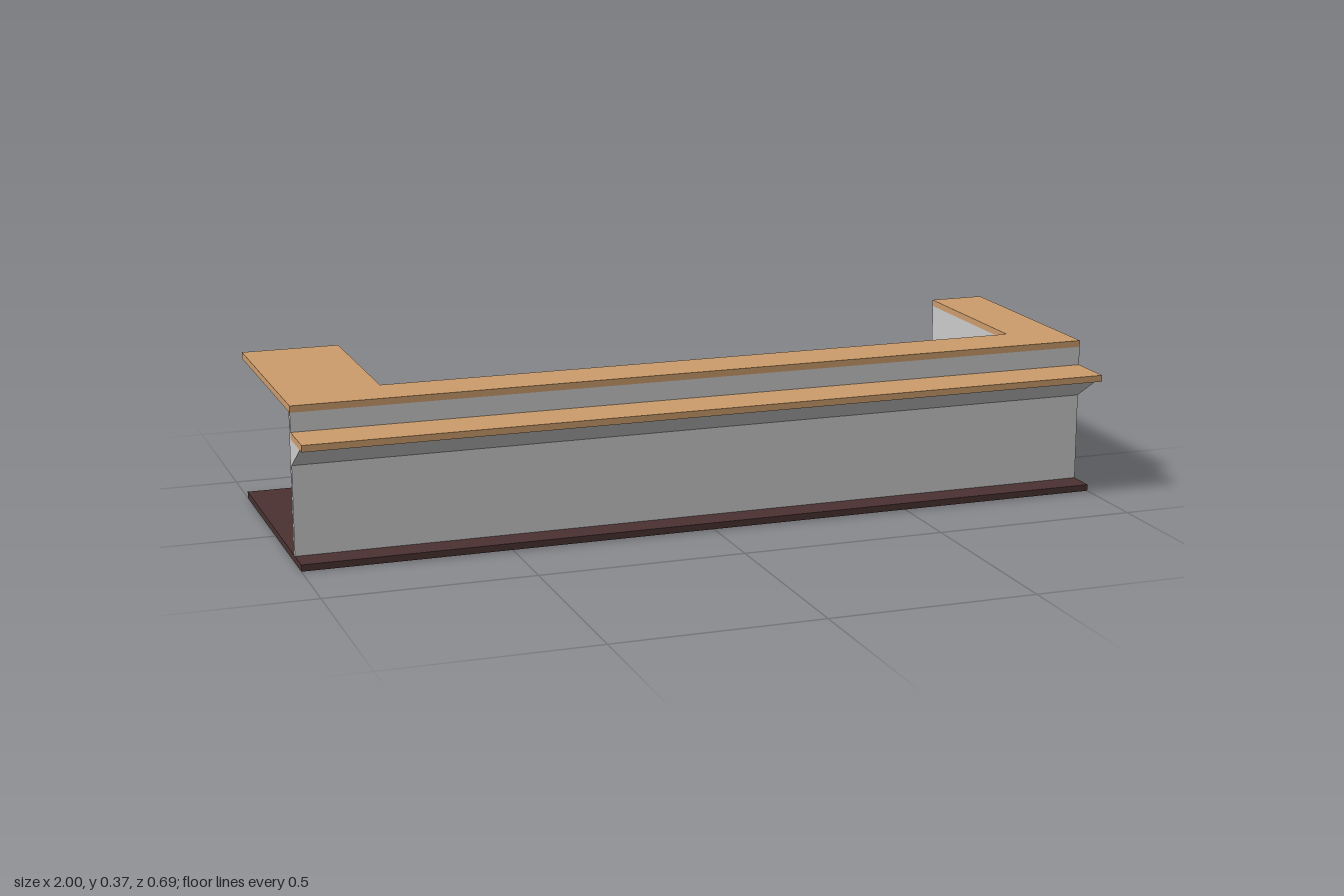
import * as THREE from 'three';

const grey = new THREE.MeshStandardMaterial({ color: 0xcccccc });
const wood = new THREE.MeshStandardMaterial({ color: 0xcc9c6c });
const dark = new THREE.MeshStandardMaterial({ color: 0x4b3232 });

// Main levels and depths
const BACK = -0.346, PANEL = 0.013;
const FRONT = 0.225, FRONT_IN = FRONT - PANEL;
const FLOOR = 0.016, DESK = 0.24, SOFFIT = 0.294, TOP = 0.356, HEIGHT = 0.372;
const WALL = 0.874, WALL_IN = 0.861, DESK_X = 0.68, DESK_Z = 0.02, TOP_Z = 0.097;

export function createModel() {
  const model = new THREE.Group();
  model.name = 'receptionCounter';

  const add = (name, geometry, material) => {
    const mesh = new THREE.Mesh(geometry, material);
    mesh.name = name;
    model.add(mesh);
  };

  // Box given by its limits on each axis
  const box = (name, material, [x0, x1], [y0, y1], [z0, z1]) => {
    const g = new THREE.BoxGeometry(x1 - x0, y1 - y0, z1 - z0);
    g.translate((x0 + x1) / 2, (y0 + y1) / 2, (z0 + z1) / 2);
    add(name, g, material);
  };

  const prism = (points, depth) => new THREE.ExtrudeGeometry(
    new THREE.Shape(points.map(([a, b]) => new THREE.Vector2(a, b))),
    { depth, bevelEnabled: false });

  // U-shaped board lying flat, open towards the back
  const uBoard = (name, material, outX, inLeft, inRight, inZ, frontZ, backZ, y0, y1) => {
    const plan = [[-outX, frontZ], [outX, frontZ], [outX, backZ], [inRight, backZ],
      [inRight, inZ], [inLeft, inZ], [inLeft, backZ], [-outX, backZ]];
    const g = prism(plan.map(([x, z]) => [x, -z]), y1 - y0);
    g.rotateX(-Math.PI / 2).translate(0, y0, 0);
    add(name, g, material);
  };

  // Plinth, work surface and upper counter
  uBoard('basePlinth', dark, 1, -DESK_X, DESK_X, DESK_Z, 0.294, BACK, 0, FLOOR);
  uBoard('workSurface', grey, WALL_IN, -DESK_X, DESK_X, DESK_Z, FRONT_IN,
    BACK + PANEL, DESK - PANEL, DESK);
  uBoard('counterTop', wood, 1, -0.76, 0.86, TOP_Z, FRONT, BACK, TOP, HEIGHT);

  // Front panel with its ledge and full-length sloped bracket
  box('frontPanel', grey, [-1, 1], [FLOOR, TOP], [FRONT_IN, FRONT]);
  box('frontLedge', wood, [-1, 1], [SOFFIT, 0.31], [FRONT, 0.346]);
  const bracket = prism([[-FRONT, 0.232], [-FRONT, SOFFIT], [-0.325, SOFFIT]], 2);
  add('frontBracket', bracket.rotateY(Math.PI / 2).translate(-1, 0, 0), grey);

  // Side walls, their sloped soffits and the stepped end panels
  for (const [side, s, upperX] of [['left', 1, 0.861], ['right', -1, 0.76]]) {
    box(side + 'Wall', grey, s > 0 ? [WALL_IN, WALL] : [-WALL, -WALL_IN],
      [FLOOR, TOP], [BACK + PANEL, FRONT_IN]);
    const soffit = prism([[s * WALL, SOFFIT], [s, TOP], [s * WALL, TOP]], FRONT_IN - BACK);
    add(side + 'Soffit', soffit.translate(0, 0, BACK), grey);
    const end = prism([[WALL, FLOOR], [DESK_X, FLOOR], [DESK_X, DESK], [upperX, DESK],
      [upperX, TOP], [WALL, TOP]].map(([x, y]) => [s * x, y]), PANEL);
    add(side + 'EndPanel', end.translate(0, 0, BACK), grey);
  }

  // Dividers below and above the work surface
  for (const x of [-0.6735, -0.2267, 0.2267, 0.6735]) {
    const span = [x - PANEL / 2, x + PANEL / 2];
    box('lowerDivider', grey, span, [FLOOR, DESK - PANEL], [DESK_Z, FRONT_IN]);
    box('upperDivider', grey, span, [DESK, TOP], [TOP_Z, FRONT_IN]);
  }

  return model;
}
